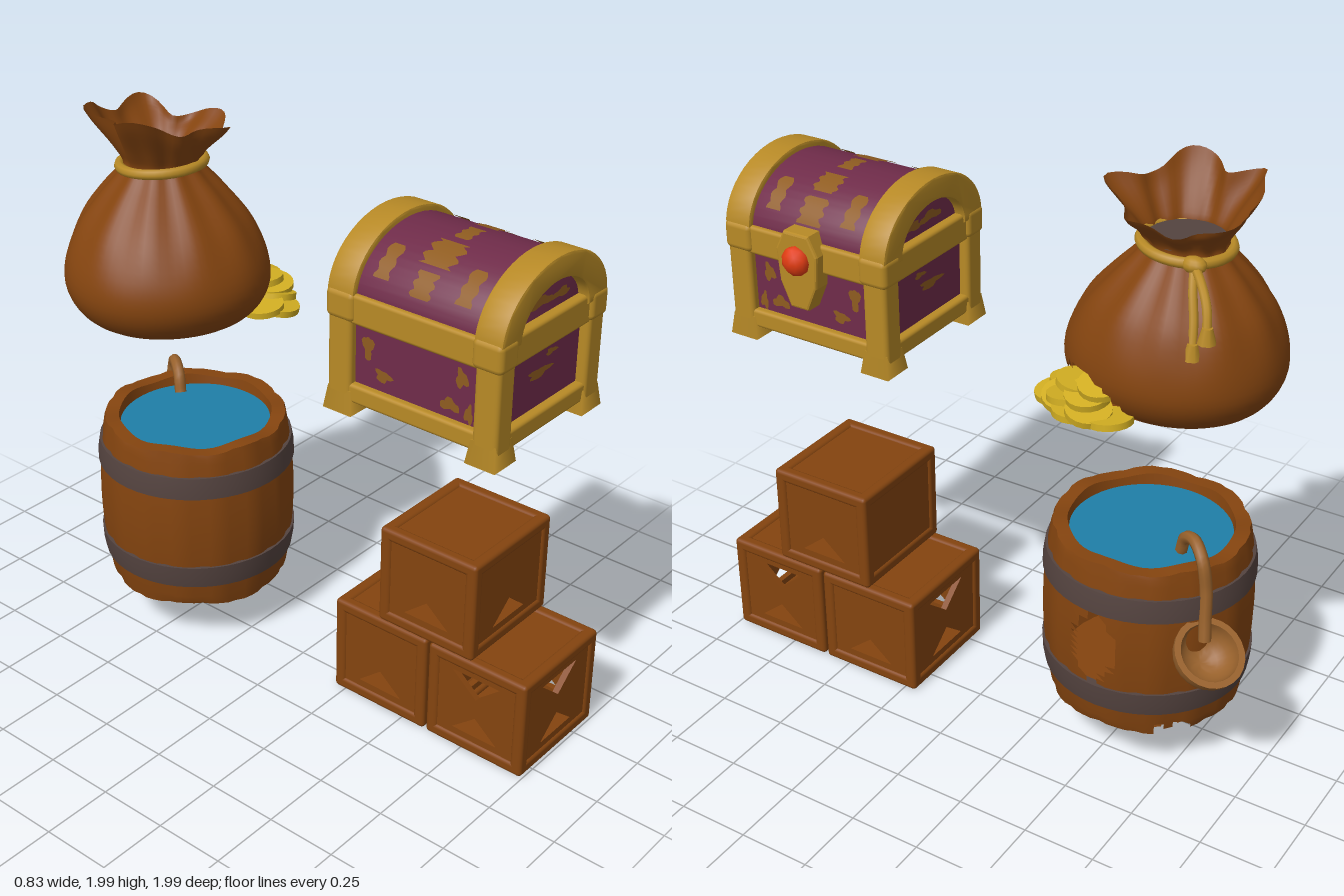
import * as THREE from 'three';
import { mergeVertices, toCreasedNormals } from 'three/addons/utils/BufferGeometryUtils.js';
import { RoundedBoxGeometry } from 'three/addons/geometries/RoundedBoxGeometry.js';

const mat = (name, color, side = THREE.FrontSide) =>
  Object.assign(new THREE.MeshStandardMaterial({ color, side }), { name });
const M = {
  wood: mat('brown wood and cloth', 0x84440f, THREE.DoubleSide),
  purple: mat('purple panel', 0x702c4a),
  gold: mat('gold trim', 0xb88a26),
  worn: mat('worn gold', 0x8f5c20, THREE.DoubleSide),
  iron: mat('dark iron', 0x54433f, THREE.DoubleSide),
  water: mat('blue water', 0x1f7fa8, THREE.DoubleSide),
  coin: mat('coin yellow', 0xd2ae22),
  gem: mat('red gem', 0xe23c12),
  ladle: mat('ladle wood', 0x99622c, THREE.DoubleSide),
};
const V2 = (x, y) => new THREE.Vector2(x, y);
const V3 = (x, y, z) => new THREE.Vector3(x, y, z);

function add(parent, name, geo, material, x = 0, y = 0, z = 0) {
  const m = new THREE.Mesh(geo, material);
  m.name = name;
  m.position.set(x, y, z);
  parent.add(m);
  return m;
}
function group(parent, name) {
  const g = new THREE.Group();
  g.name = name;
  parent.add(g);
  return g;
}
// rounded box given by its minimum and maximum corners
function box(parent, name, material, a, b, r = 0.012) {
  const s = a.map((v, i) => b[i] - v), c = a.map((v, i) => (v + b[i]) / 2);
  return add(parent, name, new RoundedBoxGeometry(...s, 2, r), material, ...c);
}
// move every vertex by a rule
function warp(geo, rule) {
  const p = geo.attributes.position, v = V3(0, 0, 0);
  for (let i = 0; i < p.count; i++) {
    rule(v.fromBufferAttribute(p, i));
    p.setXYZ(i, v.x, v.y, v.z);
  }
  return geo;
}
// drop the triangles whose centre passes the test
function cut(geo, test) {
  const p = geo.attributes.position, idx = geo.index.array, keep = [], c = V3(0, 0, 0), v = V3(0, 0, 0);
  for (let i = 0; i < idx.length; i += 3) {
    c.set(0, 0, 0);
    for (let k = 0; k < 3; k++) c.addScaledVector(v.fromBufferAttribute(p, idx[i + k]), 1 / 3);
    if (!test(c)) keep.push(idx[i], idx[i + 1], idx[i + 2]);
  }
  geo.setIndex(keep);
  return geo;
}
function weld(geo) {
  geo.deleteAttribute('uv');
  geo.deleteAttribute('normal');
  const g = mergeVertices(geo, 1e-4);
  g.computeVertexNormals();
  return g;
}
const tube = (pts, r, n = 24) =>
  new THREE.TubeGeometry(new THREE.CatmullRomCurve3(pts.map(p => V3(...p))), n, r, 8);

// crate with braced panels; marks: t = upper gap, b = lower gap, per side
function crate(parent, y, z, sides) {
  const g = group(parent, 'crate'), W = 0.215, H = 0.184, D = 0.195, e = 0.045;
  g.position.set(0.145, y + H, z);
  for (const s of [-1, 1]) for (const t of [-1, 1]) {
    const bar = (name, w, h, d, px, py, pz) =>
      add(g, name, new RoundedBoxGeometry(w, h, d, 2, 0.014), M.wood, px, py, pz);
    bar('cratePost', e, 2 * H, e, s * (W - e / 2), 0, t * (D - e / 2));
    bar('crateRailX', 2 * W, e, e, 0, s * (H - e / 2), t * (D - e / 2));
    bar('crateRailZ', e, e, 2 * D, s * (W - e / 2), t * (H - e / 2), 0);
  }
  sides.forEach((marks, i) => {
    const hw = i % 2 ? D : W, out = i % 2 ? W : D;
    const s = new THREE.Shape([V2(-hw + 0.02, -H + 0.02), V2(hw - 0.02, -H + 0.02), V2(hw - 0.02, H - 0.02), V2(-hw + 0.02, H - 0.02)]);
    if (marks.includes('b')) s.holes.push(new THREE.Path([V2(-0.09, -0.115), V2(0, -0.04), V2(0.09, -0.115)]));
    if (marks.includes('t')) s.holes.push(new THREE.Path([V2(-0.1, 0.12), V2(0.1, 0.12), V2(0, 0.035)]));
    const geo = new THREE.ExtrudeGeometry(s, { depth: 0.022, bevelEnabled: false }).translate(0, 0, out - 0.03);
    add(g, 'cratePanel', geo, M.wood).rotation.y = i * Math.PI / 2;
  });
  for (const s of [-1, 1])
    add(g, 'crateLid', new THREE.BoxGeometry(2 * W - 0.06, 0.02, 2 * D - 0.06), M.wood, 0, s * (H - 0.018), 0);
}

function barrel(parent) {
  const g = group(parent, 'barrel');
  g.position.set(0.03, 0, -0.535);
  const R = y => 0.353 - 0.03 * ((y - 0.5) / 0.32) ** 2;
  const pts = [V2(0.27, 0.23), V2(0.285, 0.17)];
  for (let i = 0; i <= 28; i++) { const y = 0.17 + 0.64 * i / 28; pts.push(V2(R(y), y)); }
  pts.push(V2(0.275, 0.81), V2(0.265, 0.74));
  let geo = new THREE.LatheGeometry(pts, 64);
  // stave grooves, uneven ends and a chipped foot
  warp(geo, v => {
    const a = Math.atan2(v.x, v.z), k = Math.round(a / (Math.PI / 32));
    if (((k % 4) + 4) % 4 === 0 && Math.hypot(v.x, v.z) > 0.29) { v.x *= 0.982; v.z *= 0.982; }
    if (v.y > 0.8) v.y -= 0.012 * (1 + Math.sin(a * 7)) / 2;
    if (v.y < 0.18) v.y += 0.014 * (1 + Math.sin(a * 5)) / 2;
  });
  // broken gap in the side, notches below
  geo = cut(geo, c => {
    const z = c.z, y = c.y;
    if (c.x > 0.3 && Math.abs(z - 0.015) / 0.075 + Math.max(0, Math.abs(y - 0.5) - 0.06) / 0.09 < 1) return true;
    return c.x > 0.1 && z < -0.17 && z > -0.27 && y < 0.205 + 0.02 * Math.sin(z * 120);
  });
  add(g, 'barrelStaves', toCreasedNormals(geo, 0.5), M.wood);
  for (const [lo, hi] of [[0.27, 0.355], [0.64, 0.72]]) {
    const band = [V2(R(lo) - 0.02, lo), V2(R(lo) + 0.008, lo), V2(R((lo + hi) / 2) + 0.01, (lo + hi) / 2), V2(R(hi) + 0.008, hi), V2(R(hi) - 0.02, hi)];
    add(g, 'barrelHoop', toCreasedNormals(new THREE.LatheGeometry(band, 48), 0.6), M.iron);
  }
  add(g, 'water', new THREE.CircleGeometry(0.275, 32).rotateX(-Math.PI / 2), M.water, 0, 0.77, 0);
  add(g, 'barrelBase', new THREE.CylinderGeometry(0.29, 0.29, 0.02, 32), M.wood, 0, 0.225, 0);

  // ladle hooked over the rim
  const l = group(parent, 'ladle');
  add(l, 'ladleHandle', tube([[0.115, 0.79, -0.69], [0.13, 0.85, -0.71], [0.165, 0.875, -0.76], [0.205, 0.84, -0.81],
    [0.21, 0.74, -0.83], [0.225, 0.64, -0.84], [0.24, 0.57, -0.85]], 0.021, 32), M.ladle);
  const bowl = [];
  for (let i = 0; i <= 8; i++) bowl.push(V2(0.118 * Math.sin(i * Math.PI / 16), -0.118 * Math.cos(i * Math.PI / 16)));
  for (let i = 8; i >= 0; i--) bowl.push(V2(0.097 * Math.sin(i * Math.PI / 16), -0.097 * Math.cos(i * Math.PI / 16)));
  const b = add(l, 'ladleBowl', toCreasedNormals(new THREE.LatheGeometry(bowl, 24), 0.7), M.ladle, 0.28, 0.565, -0.89);
  b.quaternion.setFromUnitVectors(V3(0, 1, 0), V3(0.32, 0.82, -0.5).normalize());
}

function sack(parent) {
  const g = group(parent, 'sack');
  g.position.set(-0.075, 0, -0.55);
  const prof = [[0, 1.23], [0.17, 1.225], [0.28, 1.265], [0.337, 1.35], [0.335, 1.45], [0.285, 1.57], [0.21, 1.67],
    [0.148, 1.74], [0.125, 1.78], [0.15, 1.83], [0.195, 1.89], [0.215, 1.925]];
  const pts = new THREE.SplineCurve(prof.map(p => V2(...p))).getPoints(44);
  pts[0].x = 0;
  let geo = new THREE.LatheGeometry(pts, 72);
  // gathered folds and a ruffled, leaning mouth
  warp(geo, v => {
    const a = Math.atan2(v.x, v.z), up = THREE.MathUtils.smoothstep(v.y, 1.4, 1.72), m = THREE.MathUtils.smoothstep(v.y, 1.78, 1.93);
    const k = 1 + 0.035 * up * Math.sin(11 * a) + 0.02 * Math.sin(3 * a) + m * (0.13 * Math.sin(5 * a + 1) + 0.06 * Math.sin(8 * a));
    v.y += m * (0.022 * Math.sin(5 * a + 1) - 0.2 * v.x);
    v.x = v.x * k + 0.02 * up;
    v.z = v.z * k * 1.04 - 0.02 * up;
  });
  // torn corner where the coins spill out
  geo = cut(geo, c => {
    const t = (Math.atan2(c.z, c.x) + 0.05) / 1.25;
    return t > 0 && t < 1 && c.y > 1.25 && c.y < 1.27 + 0.13 * Math.sin(Math.PI * t);
  });
  add(g, 'sackCloth', weld(geo), M.wood);
  add(g, 'sackInside', new THREE.CircleGeometry(0.125, 24).rotateX(-Math.PI / 2), M.iron, 0.02, 1.79, -0.02);
  // cord, knot and two tails
  const ring = add(g, 'cord', new THREE.TorusGeometry(0.142, 0.018, 8, 40).rotateX(Math.PI / 2), M.gold, 0.02, 1.77, -0.02);
  ring.rotation.x = -0.08;
  const knot = add(g, 'knot', new THREE.SphereGeometry(0.034, 12, 8), M.gold, 0.145, 1.765, -0.11);
  knot.scale.set(0.9, 0.8, 1.2);
  for (const path of [[[0.145, 1.765, -0.11], [0.185, 1.7, -0.13], [0.22, 1.62, -0.155], [0.25, 1.54, -0.17]],
    [[0.145, 1.765, -0.11], [0.19, 1.73, -0.16], [0.23, 1.68, -0.2], [0.26, 1.61, -0.22]]]) {
    add(g, 'cordTail', tube(path, 0.015), M.gold);
    add(g, 'cordEnd', new THREE.CylinderGeometry(0.017, 0.03, 0.05, 8), M.gold, ...path[3]);
  }
  // spilled coins
  [[0.1, 1.275, -0.27], [0.16, 1.262, -0.25], [0.2, 1.275, -0.3], [0.24, 1.265, -0.36], [0.22, 1.3, -0.33], [0.26, 1.29, -0.42],
    [0.23, 1.325, -0.4], [0.25, 1.275, -0.49], [0.18, 1.33, -0.34], [0.2, 1.355, -0.43], [0.14, 1.3, -0.37]].forEach((p, i) => {
    const c = add(g, 'coin', new THREE.CylinderGeometry(0.075, 0.075, 0.022, 20), M.coin, p[0] + 0.075, p[1], p[2] + 0.55);
    c.rotation.set(0.15 * Math.sin(i * 2.1), 0, 0.18 * Math.cos(i * 1.7) - 0.08);
  });
}

function chest(parent) {
  const g = group(parent, 'chest');
  const cx = 0.05, cz = 0.61, base = 1.61;
  const arch = (rx, ry) => Array.from({ length: 25 }, (_, i) => V2(rx * Math.cos(i * Math.PI / 24), ry * Math.sin(i * Math.PI / 24)));
  const extrude = (shape, depth) => new THREE.ExtrudeGeometry(shape, { depth, bevelEnabled: true, bevelSize: 0.008, bevelThickness: 0.008, bevelSegments: 2 });
  box(g, 'chestBody', M.purple, [-0.2, 1.28, 0.325], [0.3, 1.56, 0.895], 0.01);
  add(g, 'chestLid', toCreasedNormals(extrude(new THREE.Shape(arch(0.252, 0.183)), 0.55), 0.6), M.purple, cx, base, cz - 0.275);
  box(g, 'chestBottom', M.worn, [-0.2, 1.255, 0.32], [0.3, 1.285, 0.9], 0.006);
  // lid end arches
  const ringShape = new THREE.Shape([...arch(0.272, 0.205), ...arch(0.185, 0.14).reverse()]);
  for (const z of [0.295, 0.84]) add(g, 'lidArch', toCreasedNormals(extrude(ringShape, 0.085), 0.6), M.gold, cx, base, z);
  // middle and lower bands, wrapped round all sides
  for (const [n, lo, hi] of [['middleBand', 1.53, 1.63], ['lowerBand', 1.26, 1.325]]) {
    for (const x of [-0.225, 0.285]) box(g, n, M.gold, [x, lo, 0.31], [x + 0.04, hi, 0.91]);
    for (const z of [0.295, 0.88]) box(g, n, M.gold, [-0.22, lo, z], [0.32, hi, z + 0.045]);
  }
  // corner posts and flared feet
  for (const sx of [-1, 1]) for (const sz of [-1, 1]) {
    add(g, 'cornerPost', new RoundedBoxGeometry(0.085, 0.37, 0.09, 2, 0.016), M.gold, cx + sx * 0.237, 1.44, cz + sz * 0.275);
    add(g, 'cap', new RoundedBoxGeometry(0.095, 0.1, 0.11, 2, 0.02), M.gold, cx + sx * 0.238, 1.585, cz + sz * 0.272);
    add(g, 'foot', new THREE.CylinderGeometry(0.062, 0.078, 0.08, 4).rotateY(Math.PI / 4), M.gold, cx + sx * 0.234, 1.26, cz + sz * 0.272);
  }
  // lock plate and gem
  const plate = new THREE.Shape([V2(-0.045, 0.11), V2(0.045, 0.11), V2(0.075, 0.05), V2(0.065, -0.06), V2(0.03, -0.14), V2(-0.03, -0.14), V2(-0.065, -0.06), V2(-0.075, 0.05)]);
  add(g, 'lockPlate', extrude(plate, 0.055), M.gold, 0.298, 1.55, 0.615).rotation.y = Math.PI / 2;
  const gem = add(g, 'gem', new THREE.IcosahedronGeometry(0.052, 1), M.gem, 0.362, 1.575, 0.615);
  gem.scale.x = 0.75;

  // worn paint: blobs on the flat panels
  const blob = (w, h, seed) => new THREE.ShapeGeometry(new THREE.Shape(Array.from({ length: 18 }, (_, i) => {
    const a = i * Math.PI / 9, k = 1 + 0.25 * Math.sin(3 * a + seed) + 0.15 * Math.sin(5 * a + seed * 2);
    return V2(w * k * Math.cos(a), h * k * Math.sin(a));
  })));
  [[-0.18, 1.46, 0.02, 0.04], [-0.12, 1.38, 0.03, 0.02], [0.17, 1.47, 0.022, 0.03], [0.13, 1.37, 0.035, 0.02], [0.2, 1.36, 0.015, 0.03]].forEach(([z, y, w, h], i) => {
    for (const s of [-1, 1])
      add(g, 'wornPaint', blob(w, h, i), M.worn, cx + s * 0.253, y, cz + z).rotation.y = s * Math.PI / 2;
  });
  for (const s of [-1, 1]) {
    const rot = s > 0 ? 0 : Math.PI;
    [[-0.02, 1.44, 0.06, 0.016, 0.288], [0.04, 1.49, 0.03, 0.01, 0.288], [-0.03, 1.675, 0.06, 0.016, 0.286], [0.07, 1.67, 0.05, 0.014, 0.286]].forEach(([x, y, w, h, d], i) => {
      add(g, 'wornPaint', blob(w, h, i + 1), M.worn, cx + x, y, cz + s * d).rotation.y = rot;
    });
  }
  // worn paint: strips bent over the lid
  const strip = (a0, a1, z, w) => {
    const geo = warp(new THREE.PlaneGeometry(1, 1, 10, 2), v => {
      const t = v.x + 0.5, a = a0 + (a1 - a0) * t, k = 0.55 + 0.45 * Math.abs(Math.sin(t * 8 + a0 * 3));
      v.set(cx + 0.264 * Math.cos(a), base + 0.195 * Math.sin(a), cz + z + v.y * w * k);
    });
    geo.computeVertexNormals();
    add(g, 'wornLidPaint', geo, M.worn);
  };
  for (const [a0, a1, w] of [[0.35, 0.8, 0.1], [0.9, 1.25, 0.1], [1.4, 1.75, 0.06], [1.85, 2.3, 0.13], [2.4, 2.8, 0.08]]) strip(a0, a1, 0, w);
  for (const z of [-0.15, 0.15]) {
    strip(0.45, 1.0, z, 0.06);
    strip(2.15, 2.7, z, 0.06);
  }
}

export function createModel() {
  const root = new THREE.Group();
  root.name = 'treasureProps';
  crate(root, 0, 0.8, ['tb', 'tb', 'b', 'tb']);
  crate(root, 0, 0.4, ['b', 'b', 'tb', 'b']);
  crate(root, 0.368, 0.585, ['b', 'b', '', 'b']);
  barrel(root);
  sack(root);
  chest(root);
  return root;
}
